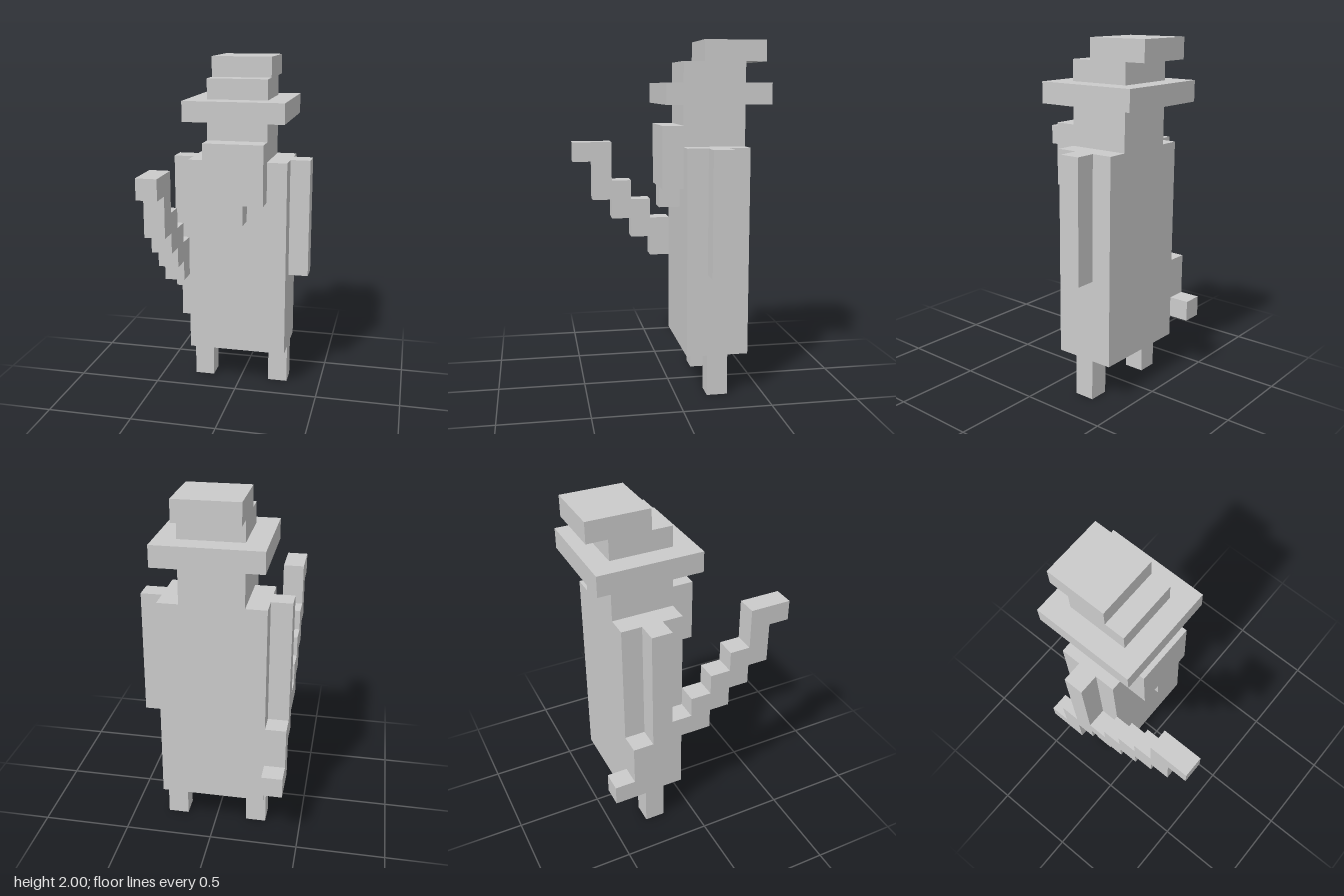
import * as THREE from 'three';

// One block of the grid; the figure is 17 blocks tall
const U = 2 / 17;
const material = new THREE.MeshStandardMaterial({ color: 0xcccccc, flatShading: true });

export function createModel() {
  const model = new THREE.Group();
  model.name = 'hattedFigure';

  // Box from ranges [min, max] in block units
  function block(name, [x0, x1], [y0, y1], [z0, z1], parent = model) {
    const geometry = new THREE.BoxGeometry((x1 - x0) * U, (y1 - y0) * U, (z1 - z0) * U);
    const mesh = new THREE.Mesh(geometry, material);
    mesh.position.set((x0 + x1) / 2 * U, (y0 + y1) / 2 * U, (z0 + z1) / 2 * U);
    mesh.name = name;
    parent.add(mesh);
  }

  // Robe and head
  block('robe', [-2.5, 2.5], [2, 12], [-3.5, -0.5]);
  block('head', [-1.5, 1.5], [12, 14], [-3.5, -0.5]);

  // Beard with a narrow tip
  block('beard', [-1.5, 1.5], [10, 13], [-0.5, 0.5]);
  block('beardTip', [-0.5, 0.5], [9, 10], [-0.5, 0.5]);

  // Hat, bent backwards at the top
  block('hatBrim', [-2.5, 2.5], [14, 15], [-4.5, 0.5]);
  block('hatCrown', [-1.5, 1.5], [15, 16], [-3.5, -0.5]);
  block('hatTop', [-1.5, 1.5], [16, 17], [-4.5, -1.5]);

  // Legs and arms
  for (const [side, s] of [['left', 1], ['right', -1]]) {
    const span = (a, b) => (s > 0 ? [a, b] : [-b, -a]);
    block(side + 'Leg', span(1.5, 2.5), [0, 2], [-2.5, -1.5]);
    block(side + 'Arm', span(2.5, 3.5), [6, 12], [-2.5, -1.5]);
  }

  // Crooked staff in the right hand: columns from back to front, [bottom, top]
  const staff = new THREE.Group();
  staff.name = 'staff';
  model.add(staff);
  const columns = [[3, 4], [3, 6], [5, 6], [6, 7], [6, 8], [7, 9], [8, 10], [9, 12], [11, 12]];
  columns.forEach((height, i) => {
    block('staffStep', [-3.5, -2.5], height, [i - 4.5, i - 3.5], staff);
  });

  return model;
}
